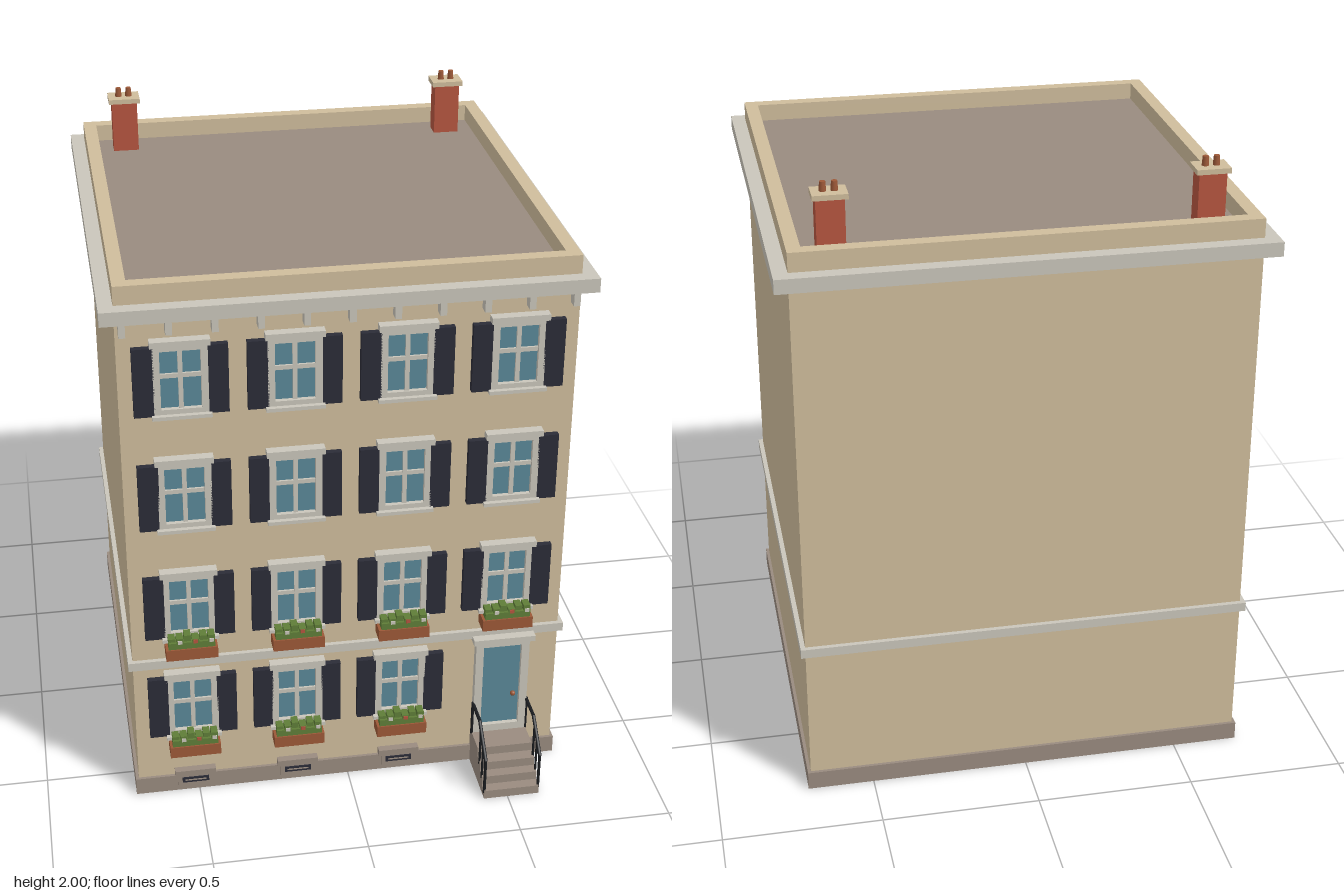
import * as THREE from 'three';

const mat = (name, color) => Object.assign(new THREE.MeshStandardMaterial({ color }), { name });
const M = {
  wall: mat('sandstone', 0xcfbd9c),
  trim: mat('pale stone trim', 0xc9c5ba),
  stone: mat('grey brown stone', 0x998b7f),
  glass: mat('blue glass', 0x5a8797),
  shutter: mat('dark shutter', 0x2b2c37),
  iron: mat('black iron', 0x1b1d20),
  brick: mat('red brick', 0xb5553f),
  clay: mat('terracotta', 0x9c5837),
  leaf: mat('leaf green', 0x5f7d38),
};
const FRONT = 0.61; // front wall plane
const MID_Z = -0.09; // centre of the block in z

export function createModel() {
  const root = new THREE.Group();
  root.name = 'townhouse';

  // Box given by centre x/z, bottom y and size
  const box = (parent, name, m, w, h, d, x, y, z) => {
    const mesh = new THREE.Mesh(new THREE.BoxGeometry(w, h, d), m);
    mesh.position.set(x, y + h / 2, z);
    mesh.name = name;
    parent.add(mesh);
    return mesh;
  };
  // Box standing proud of the front wall
  const proud = (parent, name, m, w, h, out, x, y) =>
    box(parent, name, m, w, h, out + 0.01, x, y, FRONT + (out - 0.01) / 2);
  const group = (name, x = 0, y = 0, z = 0) => {
    const g = new THREE.Group();
    g.name = name;
    g.position.set(x, y, z);
    root.add(g);
    return g;
  };
  const rect = (P, x0, y0, x1, y1) => {
    const p = new P();
    p.moveTo(x0, y0).lineTo(x1, y0).lineTo(x1, y1).lineTo(x0, y1).closePath();
    return p;
  };
  // Rectangular ring: outer size minus a centred opening
  const ring = (w, h, iw, ih, depth) => {
    const s = rect(THREE.Shape, -w / 2, -h / 2, w / 2, h / 2);
    s.holes.push(rect(THREE.Path, -iw / 2, -ih / 2, iw / 2, ih / 2));
    return new THREE.ExtrudeGeometry(s, { depth, bevelEnabled: false });
  };

  // Main block
  box(root, 'walls', M.wall, 1.4, 1.74, 1.4, 0, 0.01, MID_Z);
  box(root, 'plinth', M.stone, 1.42, 0.06, 1.42, 0, 0, MID_Z);
  box(root, 'stringCourse', M.trim, 1.43, 0.03, 1.43, 0, 0.5, MID_Z);
  box(root, 'cornice', M.trim, 1.49, 0.045, 1.49, 0, 1.735, MID_Z);
  box(root, 'roof', M.stone, 1.33, 0.01, 1.33, 0, 1.775, MID_Z);
  const parapet = new THREE.Mesh(ring(1.4, 1.4, 1.315, 1.315, 0.065).rotateX(-Math.PI / 2), M.wall);
  parapet.position.set(0, 1.775, MID_Z);
  parapet.name = 'parapet';
  root.add(parapet);
  for (let i = 0; i < 11; i++) proud(root, 'corniceBracket', M.trim, 0.02, 0.05, 0.035, -0.68 + i * 0.136, 1.69);

  // Chimneys
  for (const x of [-0.563, 0.563]) {
    const c = group('chimney', x, 0, -0.665);
    box(c, 'chimneyStack', M.brick, 0.085, 0.19, 0.06, 0, 1.765, 0);
    box(c, 'chimneyCap', M.wall, 0.105, 0.016, 0.08, 0, 1.955, 0);
    for (const px of [-0.017, 0.017]) {
      const pot = new THREE.Mesh(new THREE.CylinderGeometry(0.009, 0.011, 0.03, 12), M.clay);
      pot.position.set(px, 1.985, 0);
      pot.name = 'chimneyPot';
      c.add(pot);
    }
  }

  // Windows, y = 0 at the bottom of the shutters
  const frameGeo = ring(0.165, 0.235, 0.122, 0.192, 0.025);
  const addWindow = (x, y, planted) => {
    const w = group('window', x, y);
    proud(w, 'glass', M.glass, 0.13, 0.2, 0.005, 0, 0.016);
    const frame = new THREE.Mesh(frameGeo, M.trim);
    frame.position.set(0, 0.117, FRONT - 0.005);
    frame.name = 'windowFrame';
    w.add(frame);
    proud(w, 'verticalBar', M.trim, 0.014, 0.195, 0.013, 0, 0.018);
    proud(w, 'crossBar', M.trim, 0.125, 0.014, 0.012, 0, 0.122);
    proud(w, 'lintel', M.trim, 0.18, 0.02, 0.032, 0, 0.23);
    proud(w, 'sill', M.trim, 0.18, 0.012, 0.035, 0, -0.007);
    for (const s of [-1, 1]) proud(w, 'shutter', M.shutter, 0.064, 0.226, 0.02, s * 0.111, 0);
    if (!planted) return;
    // Planter with shrubs and blooms
    box(w, 'planter', M.clay, 0.165, 0.04, 0.06, 0, -0.056, 0.645);
    box(w, 'foliage', M.leaf, 0.148, 0.025, 0.045, 0, -0.018, 0.648);
    for (let i = 0; i < 6; i++) {
      const px = -0.0625 + i * 0.025;
      box(w, 'shrub', M.leaf, 0.022, 0.012 + (i % 3) * 0.005, 0.035, px, 0.006, 0.645 + (i % 2) * 0.008);
      if (i % 2) box(w, 'bloom', i === 3 ? M.brick : M.trim, 0.014, 0.012, 0.012, px, 0.004, 0.668);
    }
  };
  const columns = [-0.513, -0.171, 0.171, 0.513];
  [0.233, 0.617, 1.02, 1.417].forEach((y, row) => {
    columns.forEach((x, col) => {
      if (row > 0 || col < 3) addWindow(x, y, row < 2);
    });
  });

  // Basement vents
  for (const x of columns.slice(0, 3)) {
    const v = group('basementVent', x, 0, 0);
    box(v, 'ventLintel', M.stone, 0.135, 0.022, 0.03, 0, 0.064, 0.62);
    box(v, 'ventSurround', M.stone, 0.115, 0.045, 0.016, 0, 0.022, 0.62);
    box(v, 'ventOpening', M.shutter, 0.088, 0.02, 0.016, 0, 0.036, 0.623);
    box(v, 'ventBar', M.stone, 0.07, 0.004, 0.016, 0, 0.044, 0.625);
  }

  // Front door
  const door = group('frontDoor', 0.513, 0, 0);
  proud(door, 'doorLintel', M.trim, 0.205, 0.02, 0.045, 0, 0.49);
  proud(door, 'doorPanel', M.glass, 0.14, 0.33, 0.01, 0, 0.14);
  const doorFrame = new THREE.Mesh(ring(0.18, 0.37, 0.128, 0.315, 0.03), M.trim);
  doorFrame.position.set(0, 0.308, FRONT - 0.005);
  doorFrame.name = 'doorFrame';
  door.add(doorFrame);
  const knob = new THREE.Mesh(new THREE.SphereGeometry(0.009, 12, 8), M.clay);
  knob.position.set(0.044, 0.265, 0.626);
  knob.name = 'doorKnob';
  door.add(knob);

  // Entrance steps, cut from one stepped side profile
  const edges = [0.83, 0.795, 0.76, 0.72];
  const profile = new THREE.Shape();
  profile.moveTo(0.6, 0);
  edges.forEach((z, i) => profile.lineTo(z, i * 0.031).lineTo(z, (i + 1) * 0.031));
  profile.lineTo(0.6, 0.124).closePath();
  const stepGeo = new THREE.ExtrudeGeometry(profile, { depth: 0.185, bevelEnabled: false });
  stepGeo.rotateY(-Math.PI / 2).translate(0.0925, 0, 0);
  const steps = new THREE.Mesh(stepGeo, M.stone);
  steps.position.x = 0.513;
  steps.name = 'entranceSteps';
  root.add(steps);

  // Iron railings: posts and a handrail on each side
  const rod = (parent, name, a, b, r) => {
    const mesh = new THREE.Mesh(new THREE.CylinderGeometry(r, r, a.distanceTo(b), 8), M.iron);
    mesh.position.copy(a).lerp(b, 0.5);
    mesh.quaternion.setFromUnitVectors(new THREE.Vector3(0, 1, 0), b.clone().sub(a).normalize());
    mesh.name = name;
    parent.add(mesh);
  };
  for (const s of [-1, 1]) {
    const g = group('railing', 0.513 + s * 0.091, 0, 0);
    const P = (y, z) => new THREE.Vector3(0, y, z);
    const bottom = P(0.15, 0.825), bend = P(0.24, 0.725), top = P(0.24, 0.63);
    rod(g, 'handrail', bottom, bend, 0.006);
    rod(g, 'handrail', bend, top, 0.006);
    rod(g, 'post', P(0.02, 0.822), P(0.153, 0.822), 0.005);
    rod(g, 'post', P(0.05, 0.782), P(0.19, 0.782), 0.004);
    rod(g, 'post', P(0.08, 0.745), P(0.222, 0.745), 0.004);
    rod(g, 'post', P(0.12, 0.63), P(0.245, 0.63), 0.006);
  }
  return root;
}
